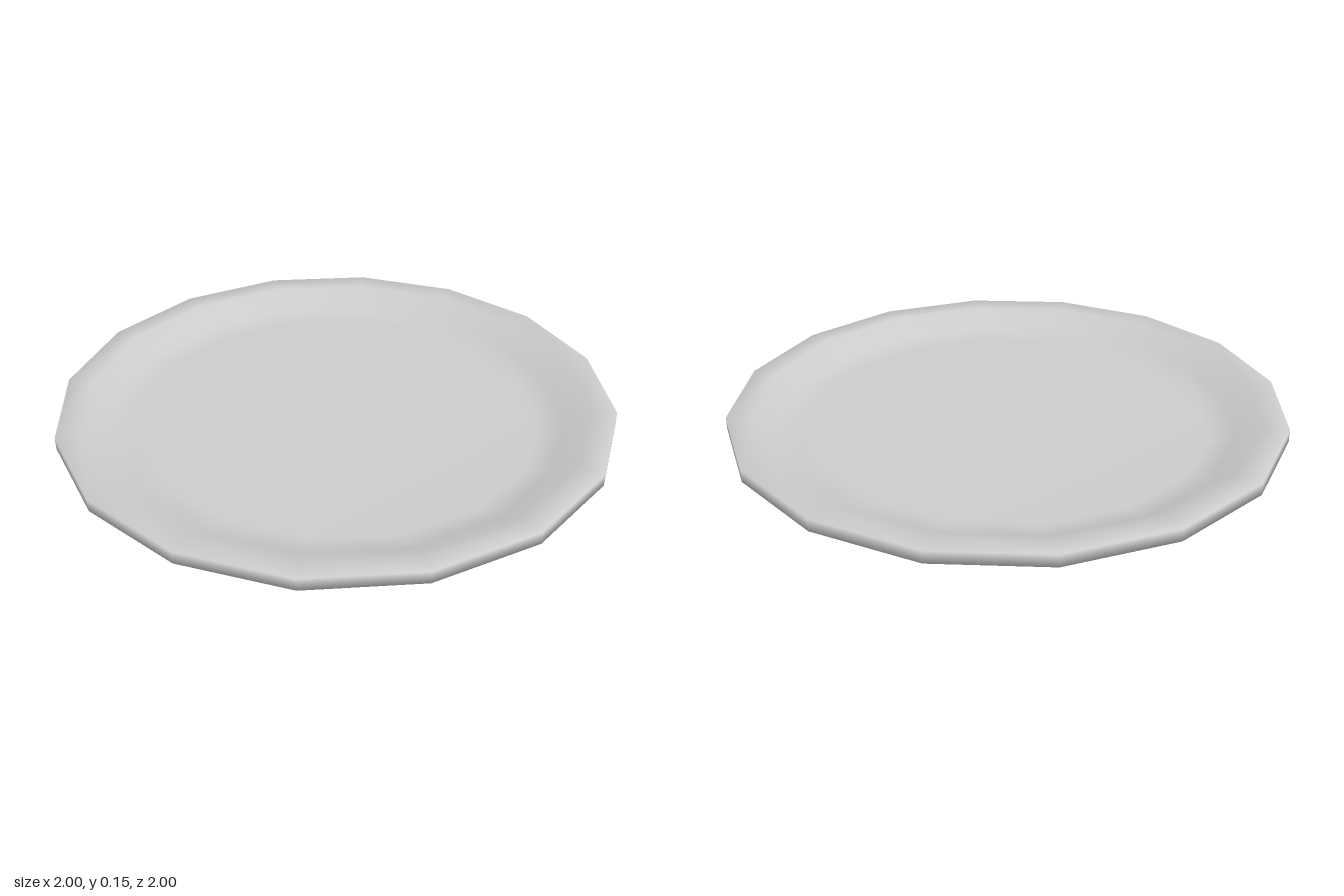
import * as THREE from 'three';

const SIDES = 16;

export function createModel() {
  const group = new THREE.Group();
  group.name = 'plate';

  // Closed cross-section as [radius, height], from under the centre round to the top centre
  const profile = [
    // flat base with a narrow outer ring, then the short foot
    [0, 0], [0.73, 0], [0.75, 0], [0.75, 0.03],
    // flared underside and lip
    [0.91, 0.104], [1, 0.104], [1, 0.148], [0.91, 0.148],
    // inner slope easing into the flat dish
    [0.82, 0.088], [0.73, 0.075], [0, 0.075],
  ].map(([r, y]) => new THREE.Vector2(r, y));

  const dish = new THREE.Mesh(
    new THREE.LatheGeometry(profile, SIDES),
    new THREE.MeshStandardMaterial({ color: 0xcccccc }),
  );
  dish.name = 'dish';
  group.add(dish);

  return group;
}
